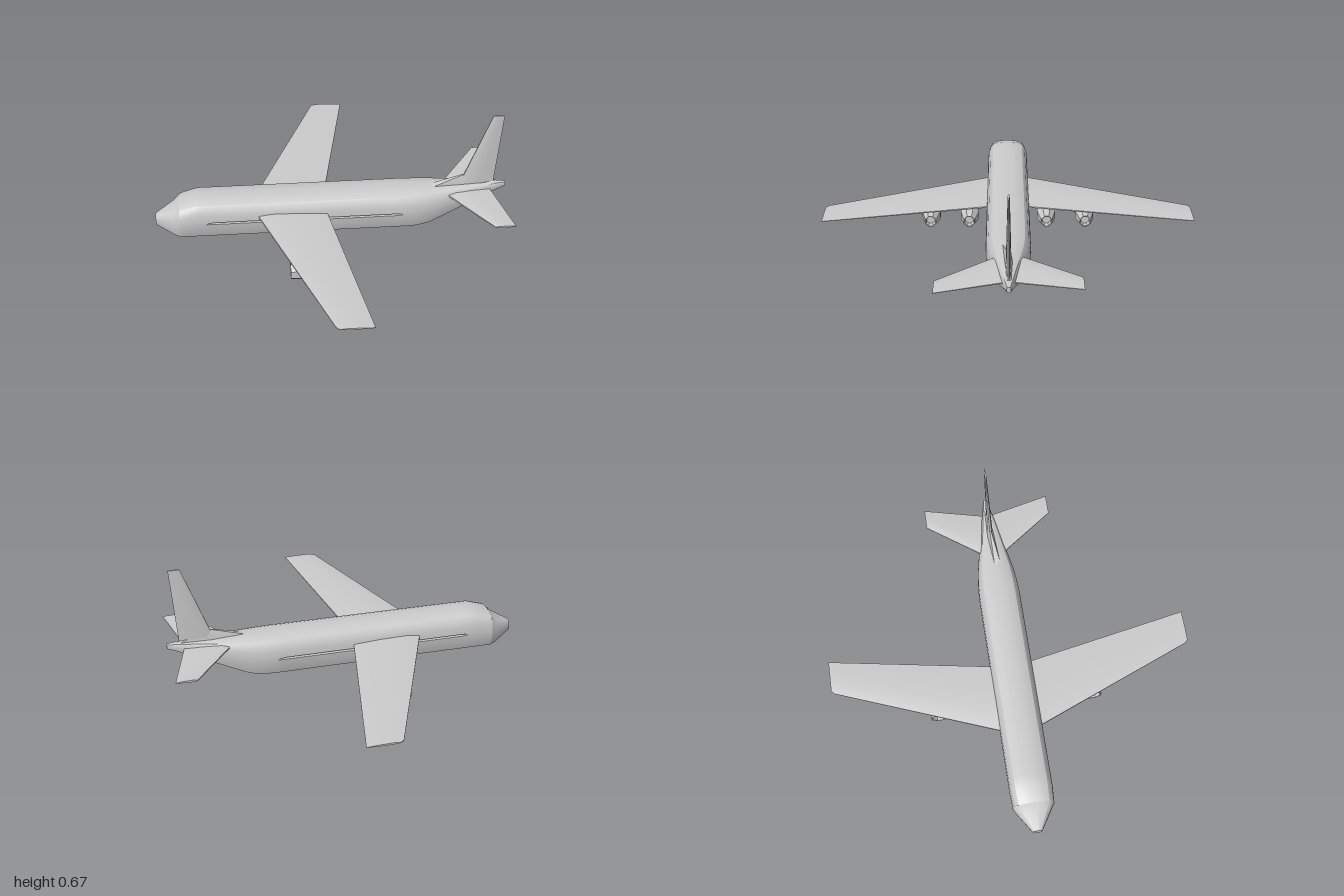
import * as THREE from 'three';
import { toCreasedNormals } from 'three/addons/utils/BufferGeometryUtils.js';

const material = new THREE.MeshStandardMaterial({ color: 0xcccccc });

function addMesh(parent, name, geometry) {
  const mesh = new THREE.Mesh(geometry, material);
  mesh.name = name;
  parent.add(mesh);
  return mesh;
}

// Skin a list of equal-length rings of [x, y, z] and cap both ends.
function loft(rings, crease = 0.5) {
  const n = rings[0].length;
  const pos = rings.flat();
  const faces = [];
  for (let r = 0; r < rings.length - 1; r++) {
    for (let i = 0; i < n; i++) {
      const a = r * n + i, b = r * n + (i + 1) % n;
      faces.push([a, b, b + n], [a, b + n, a + n]);
    }
  }
  const last = (rings.length - 1) * n;
  for (let i = 1; i < n - 1; i++) {
    faces.push([0, i + 1, i], [last, last + i, last + i + 1]);
  }
  // Signed volume tells whether the faces point outward.
  let volume = 0;
  const [a, b, c] = [new THREE.Vector3(), new THREE.Vector3(), new THREE.Vector3()];
  for (const f of faces) {
    a.fromArray(pos[f[0]]); b.fromArray(pos[f[1]]); c.fromArray(pos[f[2]]);
    volume += a.dot(b.cross(c));
  }
  if (volume < 0) faces.forEach((f) => f.reverse());
  const geometry = new THREE.BufferGeometry();
  geometry.setAttribute('position', new THREE.Float32BufferAttribute(pos.flat(), 3));
  geometry.setIndex(faces.flat());
  return toCreasedNormals(geometry, crease);
}

// Fuselage section: half-outline as fractions of width and height.
function hullRing([x, bottom, top, width, groove = 0]) {
  const half = [
    [0.28, 0], [0.85, 0.09], [0.95, 0.25], [1, 0.48], [1, 0.5, 1], [1, 0.53],
    [0.97, 0.7], [0.88, 0.84], [0.74, 0.93], [0.5, 0.98], [0.2, 1],
  ].map(([w, h, inset = 0]) => [x, bottom + h * (top - bottom), w * width - inset * groove]);
  return [...half, ...half.map(([px, py, pz]) => [px, py, -pz]).reverse()];
}

// Aerofoil outline: fractions of chord and thickness.
const foil = [
  [0, -0.2], [0, 0.2], [0.2, 0.5], [0.6, 0.42], [1, 0.12],
  [1, -0.12], [0.6, -0.42], [0.2, -0.5],
];

// Flat surface reaching sideways; stations are [span, front, rear, y, thickness].
function sideFoil(stations, side) {
  return loft(stations.map(([span, front, rear, y, t]) =>
    foil.map(([c, h]) => [front + c * (rear - front), y + h * t, side * span])));
}

// Upright surface; stations are [y, front, rear, thickness].
function uprightFoil(stations) {
  return loft(stations.map(([y, front, rear, t]) =>
    foil.map(([c, h]) => [front + c * (rear - front), y, h * t])));
}

// Eight-sided engine pod with open intake and exhaust, hung on a pylon.
function makeEngine(z) {
  const engine = new THREE.Group();
  engine.name = 'engine';
  const profile = [
    [0, -0.19], [0.045, -0.2], [0.048, -0.245], [0.055, -0.245], [0.058, -0.14],
    [0.035, -0.06], [0.03, -0.06], [0.025, -0.085], [0, -0.085],
  ].map(([r, s]) => new THREE.Vector2(r, s));
  const pod = new THREE.LatheGeometry(profile, 8, Math.PI / 8);
  pod.rotateZ(-Math.PI / 2);
  pod.scale(1, 1, 0.94);
  const nacelle = addMesh(engine, 'nacelle', toCreasedNormals(pod, 0.3));
  nacelle.position.y = 0.056;
  const pylon = addMesh(engine, 'pylon', new THREE.BoxGeometry(0.065, 0.06, 0.014));
  pylon.position.set(-0.15, 0.128, 0);
  const mount = addMesh(engine, 'pylonMount', new THREE.BoxGeometry(0.12, 0.014, 0.028));
  mount.position.set(-0.18, 0.144, 0);
  engine.position.z = z;
  return engine;
}

export function createModel() {
  const plane = new THREE.Group();
  plane.name = 'airliner';

  // Fuselage from nose to tail cone, with a shallow groove along each side
  const stations = [
    [-0.96, 0.07, 0.13, 0.025],
    [-0.86, 0.025, 0.185, 0.09],
    [-0.825, 0.02, 0.22, 0.112],
    [-0.73, 0.02, 0.25, 0.117],
    [-0.68, 0.02, 0.25, 0.117],
    [-0.64, 0.02, 0.25, 0.117, 0.02],
    [0.34, 0.02, 0.25, 0.117, 0.02],
    [0.39, 0.02, 0.25, 0.117],
    [0.47, 0.02, 0.25, 0.113],
    [0.54, 0.035, 0.25, 0.104],
    [0.63, 0.075, 0.25, 0.085],
    [0.9, 0.195, 0.248, 0.024],
    [0.96, 0.217, 0.245, 0.01],
  ];
  addMesh(plane, 'fuselage', loft(stations.map(hullRing), 0.4));

  for (const side of [1, -1]) {
    // Swept wing with a clipped tip corner
    addMesh(plane, side > 0 ? 'leftWing' : 'rightWing', sideFoil([
      [0.05, -0.425, -0.04, 0.162, 0.034],
      [0.11, -0.4, -0.028, 0.162, 0.033],
      [0.985, -0.052, 0.133, 0.159, 0.012],
      [1, -0.035, 0.136, 0.159, 0.01],
    ], side));

    // Tailplane, sitting slightly lower on one side
    const tipY = side > 0 ? 0.208 : 0.227;
    addMesh(plane, side > 0 ? 'leftTailplane' : 'rightTailplane', sideFoil([
      [0, 0.58, 0.865, 0.217, 0.026],
      [0.07, 0.635, 0.882, 0.217 + (tipY - 0.217) * 0.2, 0.024],
      [0.355, 0.84, 0.95, tipY, 0.012],
    ], side));

    // Two engines under each wing
    for (const z of [0.215, 0.43]) plane.add(makeEngine(side * z));
  }

  // Fin and the fillet that leads into it
  addMesh(plane, 'fin', uprightFoil([
    [0.23, 0.7, 0.893, 0.03],
    [0.3, 0.727, 0.897, 0.026],
    [0.675, 0.86, 0.92, 0.01],
  ]));
  addMesh(plane, 'finFillet', loft([
    [0.55, 0.251, 0.03], [0.72, 0.302, 0.02], [0.9, 0.252, 0.012],
  ].map(([x, top, w]) => [[x, 0.225, w], [x, 0.245, w], [x, top, 0.004],
    [x, top, -0.004], [x, 0.245, -w], [x, 0.225, -w]])));

  return plane;
}
